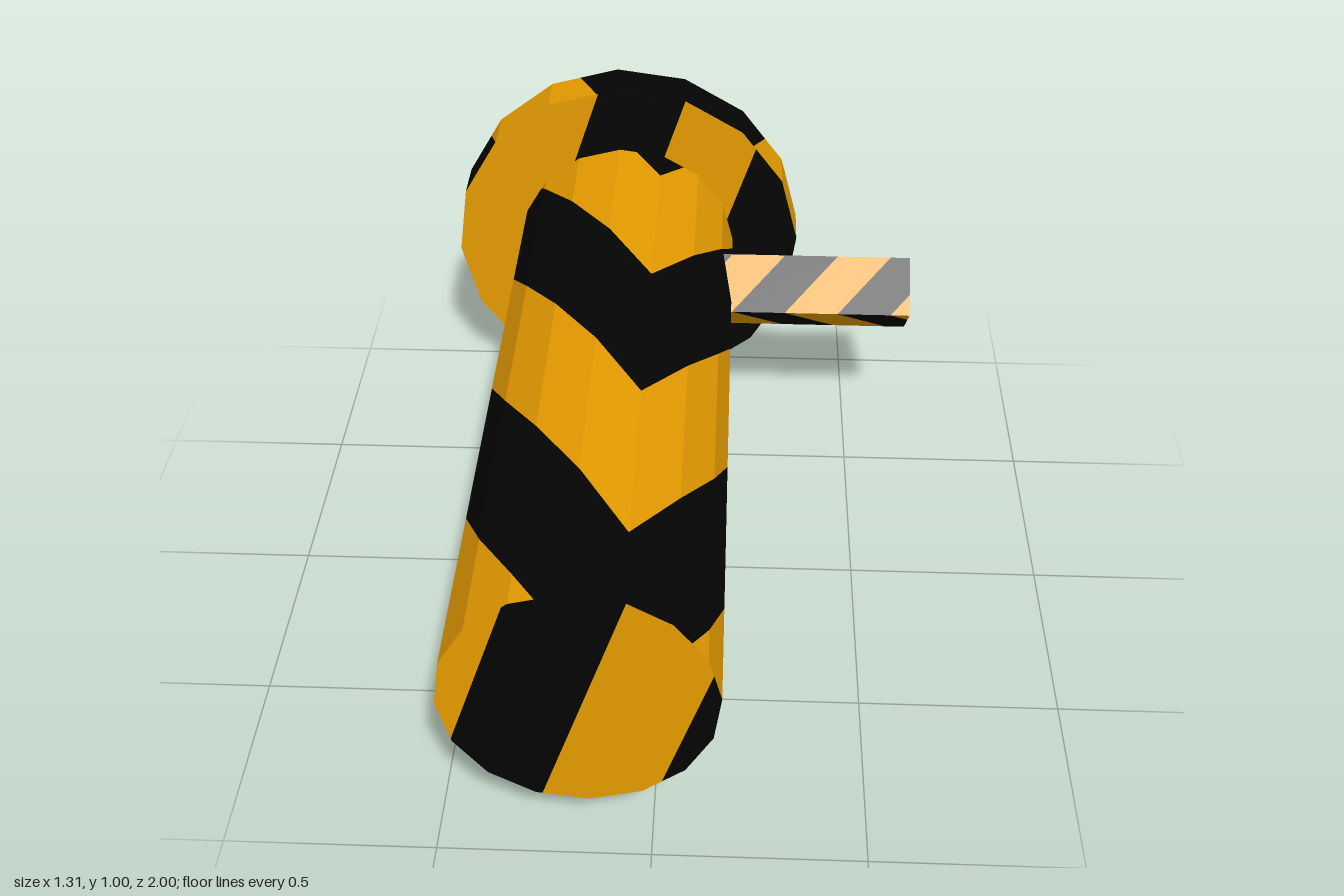
import * as THREE from 'three';

const gold = new THREE.MeshStandardMaterial({ color: 0xe69c00 });
gold.name = 'hazard gold';
const black = new THREE.MeshStandardMaterial({ color: 0x040404 });
black.name = 'hazard black';

// Keep the side of a convex polygon where sign * (f - level) >= 0; points are [x, y, z, f]
function clip(poly, level, sign) {
  const out = [];
  poly.forEach((a, i) => {
    const b = poly[(i + 1) % poly.length];
    const da = sign * (a[3] - level), db = sign * (b[3] - level);
    if (da >= 0) out.push(a);
    if (da * db < 0) out.push(a.map((v, k) => v + (b[k] - v) * da / (da - db)));
  });
  return out;
}

// Cut every face into bands at whole values of f: even bands are gold, odd ones black
function stripedMesh(name, faces) {
  const bands = [[], []];
  for (const face of faces) {
    const f = face.map(p => p[3]);
    for (let n = Math.floor(Math.min(...f) + 1e-6); n < Math.max(...f) - 1e-6; n++) {
      const piece = clip(clip(face, n, 1), n + 1, -1);
      for (let i = 1; i < piece.length - 1; i++)
        for (const p of [piece[0], piece[i], piece[i + 1]]) bands[Math.abs(n) % 2].push(p[0], p[1], p[2]);
    }
  }
  const geo = new THREE.BufferGeometry();
  geo.setAttribute('position', new THREE.Float32BufferAttribute(bands.flat(), 3));
  geo.addGroup(0, bands[0].length / 3, 0);
  geo.addGroup(bands[0].length / 3, bands[1].length / 3, 1);
  geo.computeVertexNormals();
  const mesh = new THREE.Mesh(geo, [gold, black]);
  mesh.name = name;
  return mesh;
}

// Faces of a prism; place(a, b, t) sets the axis, side(i, p) and cap(p) give the stripe value
function prismFaces(n, radius, startDeg, t0, t1, place, side, cap) {
  const at = (i, t) => {
    const angle = (startDeg + i * 360 / n) * Math.PI / 180;
    return place(radius * Math.cos(angle), radius * Math.sin(angle), t);
  };
  const faces = [], front = [], back = [];
  for (let i = 0; i < n; i++) {
    faces.push([[i, t0], [i + 1, t0], [i + 1, t1], [i, t1]].map(([j, t]) => {
      const p = at(j, t);
      return [...p, side(j, p)];
    }));
    front.push(at(i, t1));
    back.unshift(at(i, t0));
  }
  for (const ring of [front, back]) faces.push(ring.map(p => [...p, cap(p)]));
  return faces;
}

// Number of facets between edge i and the edge where the chevrons point
const facetsFrom = (i, tip, n) => {
  const d = (((i - tip) % n) + n) % n;
  return Math.min(d, n - d);
};

export function createModel() {
  const group = new THREE.Group();
  group.name = 'stripedPost';
  const alongZ = (a, b, t) => [a - 0.157, b + 0.5, t];
  const alongX = (a, b, t) => [t, a + 0.498, b - 0.634];
  // Slanted stripes on the round ends; the outermost gold band runs to the edge
  const diagonal = ([x, y]) => Math.max(-2, (x - 0.335 * (y - 0.5) + 0.145) / 0.252);

  // Long barrel with chevrons
  group.add(stripedMesh('barrel', prismFaces(16, 0.312, 3.4, -0.9, 1, alongZ,
    (i, p) => (p[2] + 0.192 * facetsFrom(i, 3, 16) + 0.755) / 0.512, diagonal)));

  // Wide flange at the back, its rim banded with the same chevrons
  group.add(stripedMesh('flange', prismFaces(16, 0.5, 3.4, -1, -0.87, alongZ,
    (i, p) => 2 + (facetsFrom(i, 3, 16) - 1.42) / 1.75 + 1.3 * (p[2] + 0.935), diagonal)));

  // Square side handle set on its edge
  group.add(stripedMesh('sideHandle', prismFaces(4, 0.117, 0, 0.08, 0.655, alongX,
    (i, p) => (p[0] - 0.147 * facetsFrom(i, 1, 4) - 0.305) / 0.1485,
    p => (0.495 - p[1]) * 4)));
  return group;
}
